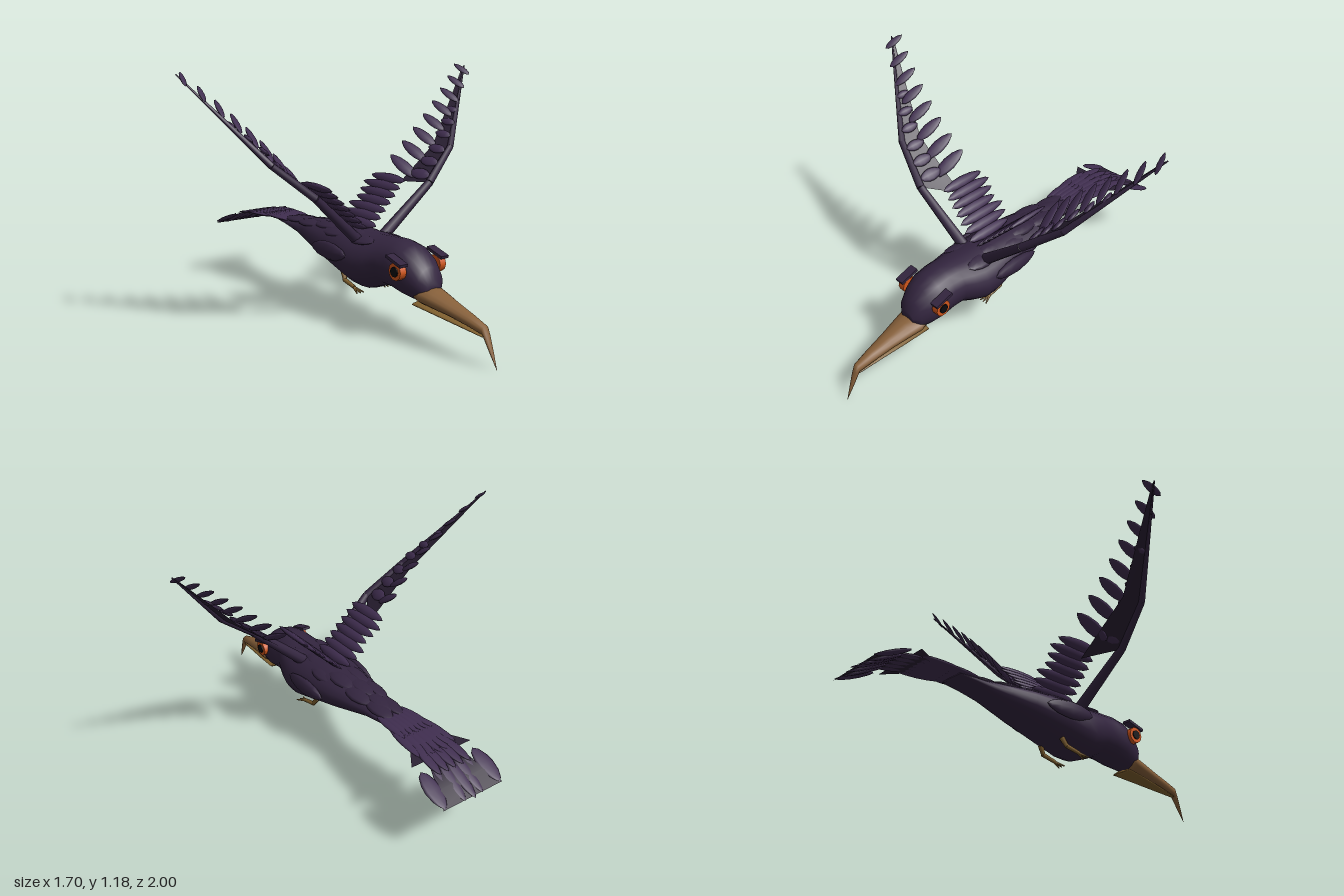
import * as THREE from 'three';

const paint = (name, color, side = THREE.FrontSide) => {
  const m = new THREE.MeshStandardMaterial({ color, side });
  m.name = name;
  return m;
};
const V = (x, y, z) => new THREE.Vector3(x, y, z);

export function createModel() {
  const model = new THREE.Group();
  const plumage = paint('dark plumage', 0x33253f);
  const feather = paint('feather purple', 0x402e50);
  const skin = paint('wing underside', 0x2a2033, THREE.DoubleSide);
  const horn = paint('beak brown', 0x87603a);
  const claw = paint('foot ochre', 0x80602f);
  const orange = paint('eye orange', 0xd0561c);
  const black = paint('pupil black', 0x0c0a0e);

  const add = (name, geo, mat, parent = model) => {
    const m = new THREE.Mesh(geo, mat);
    m.name = name;
    parent.add(m);
    return m;
  };
  const group = (name) => {
    const g = new THREE.Group();
    g.name = name;
    model.add(g);
    return g;
  };

  // Skin over elliptical rings [z, bottom, top, halfWidth], ordered front to back
  const loft = (rings, n = 16) => {
    const pos = [], idx = [];
    rings.forEach(([z, lo, hi, w]) => {
      for (let j = 0; j < n; j++) {
        const a = (j / n) * Math.PI * 2;
        pos.push(w * Math.cos(a), (lo + hi) / 2 + ((hi - lo) / 2) * Math.sin(a), z);
      }
    });
    for (let i = 0; i < rings.length - 1; i++) {
      for (let j = 0; j < n; j++) {
        const a = i * n + j, b = i * n + ((j + 1) % n);
        idx.push(a, a + n, b, b, a + n, b + n);
      }
    }
    for (let j = 1; j < n - 1; j++) {
      const e = (rings.length - 1) * n;
      idx.push(0, j, j + 1, e, e + j + 1, e + j);
    }
    const g = new THREE.BufferGeometry();
    g.setAttribute('position', new THREE.Float32BufferAttribute(pos, 3));
    g.setIndex(idx);
    g.computeVertexNormals();
    return g;
  };

  // Flat sheet between two edges of equal point count
  const sheet = (edgeA, edgeB) => {
    const pts = [], idx = [];
    edgeA.forEach((p, i) => {
      pts.push(p, edgeB[i]);
      if (i) idx.push(2 * i - 2, 2 * i - 1, 2 * i, 2 * i, 2 * i - 1, 2 * i + 1);
    });
    const g = new THREE.BufferGeometry().setFromPoints(pts);
    g.setIndex(idx);
    g.computeVertexNormals();
    return g;
  };

  // Pointed leaf-shaped feather from root to tip, thin along the given normal
  const leafGeo = new THREE.LatheGeometry(
    [[0, 0], [0.28, 0.1], [0.45, 0.3], [0.5, 0.5], [0.4, 0.75], [0.2, 0.92], [0, 1]]
      .map(([x, y]) => new THREE.Vector2(x, y)), 8);
  const leaf = (parent, name, root, tip, width, thick, normal, mat = feather) => {
    const dir = tip.clone().sub(root), len = dir.length();
    dir.normalize();
    const x = dir.clone().cross(normal).normalize();
    const z = x.clone().cross(dir);
    const m = add(name, leafGeo, mat, parent);
    m.quaternion.setFromRotationMatrix(new THREE.Matrix4().makeBasis(x, dir, z));
    m.position.copy(root);
    m.scale.set(width, len, thick);
  };

  // Tapered limb between two points
  const limb = (parent, name, a, b, ra, rb, mat) => {
    const m = add(name, new THREE.CylinderGeometry(rb, ra, a.distanceTo(b), 8), mat, parent);
    m.position.copy(a).lerp(b, 0.5);
    m.quaternion.setFromUnitVectors(V(0, 1, 0), b.clone().sub(a).normalize());
  };

  // Head, trunk and tapering rump
  add('body', loft([
    [0.625, 0.22, 0.29, 0.04], [0.6, 0.19, 0.345, 0.075], [0.55, 0.185, 0.395, 0.1],
    [0.49, 0.195, 0.425, 0.118], [0.42, 0.21, 0.437, 0.12], [0.36, 0.215, 0.435, 0.124],
    [0.3, 0.19, 0.432, 0.145], [0.24, 0.168, 0.43, 0.158], [0.18, 0.175, 0.432, 0.163],
    [0.08, 0.205, 0.437, 0.155], [0, 0.23, 0.435, 0.145], [-0.12, 0.265, 0.428, 0.128],
    [-0.24, 0.3, 0.418, 0.1], [-0.32, 0.325, 0.408, 0.083], [-0.42, 0.352, 0.398, 0.076],
    [-0.51, 0.373, 0.388, 0.07]], 20), plumage);

  // Long upper beak with a hooked point, and a thin lower beak
  add('upperBeak', loft([
    [1, 0, 0.004, 0.001], [0.97, 0.052, 0.082, 0.011], [0.945, 0.098, 0.142, 0.018],
    [0.93, 0.128, 0.17, 0.021], [0.85, 0.145, 0.195, 0.033], [0.75, 0.162, 0.222, 0.047],
    [0.66, 0.172, 0.248, 0.064], [0.6, 0.18, 0.262, 0.076], [0.57, 0.19, 0.25, 0.07]], 14), horn);
  add('lowerBeak', loft([
    [0.925, 0.118, 0.126, 0.012], [0.8, 0.133, 0.15, 0.03],
    [0.68, 0.15, 0.168, 0.048], [0.55, 0.165, 0.185, 0.062]], 12), claw);

  // Overlapping feathers along the back
  const back = group('backFeathers');
  [[0.31, 0, 2], [0.2, 0.045, 2], [0.1, 0, 2], [0.0, 0.05, 2], [-0.1, 0, 1], [-0.14, 0.055, 2],
    [-0.24, 0, 1], [-0.28, 0.035, 2]].forEach(([z, off, count]) => {
    for (let i = 0; i < count; i++) {
      const x = off ? (i ? -off : off) : (count === 2 ? (i - 0.5) * 0.17 : 0);
      const y = 0.426 - Math.max(0, -z) * 0.08 - x * x * 2.2;
      leaf(back, 'backFeather', V(x, y, z), V(x * 0.85, y - 0.008, z - 0.19), 0.085, 0.025,
        V(x * 4, 1, 0), plumage);
    }
  });

  for (const s of [1, -1]) {
    const label = s > 0 ? 'left' : 'right';
    const P = (x, y, z) => V(x * s, y, z);

    // Feather lying on the flank
    leaf(back, label + 'FlankFeather', P(0.158, 0.335, 0.2), P(0.15, 0.335, -0.08), 0.09, 0.05, V(s, 0, 0), plumage);

    // Round orange eye with dark pupil and brow
    const eye = group(label + 'Eye');
    const disc = (name, r, x, d, mat) => {
      const m = add(name, new THREE.CylinderGeometry(r, r, d, 10), mat, eye);
      m.rotation.z = Math.PI / 2;
      m.position.set(x * s, 0.328, 0.518);
    };
    disc('iris', 0.04, 0.118, 0.035, orange);
    disc('pupil', 0.023, 0.137, 0.008, black);
    const brow = add('brow', new THREE.BoxGeometry(0.045, 0.014, 0.1), plumage, eye);
    brow.position.set(0.122 * s, 0.376, 0.515);
    brow.rotation.x = 0.3;

    // Tucked leg with three toes
    const leg = group(label + 'Leg');
    limb(leg, 'shin', P(0.075, 0.225, 0.075), P(0.083, 0.185, 0.1), 0.013, 0.01, claw);
    limb(leg, 'foot', P(0.083, 0.187, 0.095), P(0.085, 0.168, 0.175), 0.011, 0.009, claw);
    [-0.02, 0, 0.02].forEach((d) =>
      limb(leg, 'toe', P(0.085, 0.168, 0.17), P(0.085 + d, 0.152, 0.22), 0.007, 0.003, claw));

    // Raised wing: bones along the front edge, then the web behind them
    const wing = group(label + 'Wing');
    const joints = [P(0.08, 0.4, 0.19), P(0.34, 0.63, 0.222), P(0.53, 0.785, 0.168), P(0.85, 1.175, -0.065)];
    const radii = [0.028, 0.02, 0.016, 0.003];
    for (let i = 0; i < 3; i++) limb(wing, 'wingBone', joints[i], joints[i + 1], radii[i], radii[i + 1], plumage);
    const inner = s > 0 ? P(0.3, 0.62, 0.06) : P(0.23, 0.57, 0.06);
    add('wingWeb', sheet(joints.slice(1), [inner, P(0.5, 0.79, 0.075), P(0.835, 1.165, -0.065)]), skin, wing);

    // Inner row of long feathers stepping up from the back
    const slope = P(-1, 1, 0);
    for (let i = 0; i < 7; i++) {
      const x = 0.025 + i * 0.032, y = 0.45 + i * 0.032;
      leaf(wing, 'innerFeather', P(x, y, 0.2 - i * 0.003), P(x, y + 0.005, -0.07 - (i % 3) * 0.012), 0.056, 0.028, slope);
    }

    // Outer flight feathers fanning back, shrinking to the tip
    for (let i = 0; i < 8; i++) {
      const t = i / 7, x = 0.335 + 0.49 * t, y = 0.68 + 0.47 * t + 0.03 * t * (1 - t);
      const z = 0.12 - 0.13 * t * t, k = 1 - 0.45 * t;
      leaf(wing, 'flightFeather', P(x + 0.01, y - 0.04 * k, z), P(x - 0.015, y + 0.06 * k, z - 0.165 * k),
        0.068 * k, 0.022 * k, P(-0.6, 1, 0.5));
    }

    // Small covert feathers over the web
    for (let i = 0; i < 6; i++) {
      const t = i / 5, x = 0.36 + 0.3 * t, y = 0.655 + 0.285 * t + (t < 0.6 ? 0 : 0.01);
      const z = 0.2 - 0.12 * t * t, k = 1 - 0.4 * t;
      leaf(wing, 'covertFeather', P(x, y, z), P(x - 0.015, y + 0.015, z - 0.12 * k), 0.065 * k, 0.02, slope);
    }
  }

  // Tail: two flared sheets covered by fans of feathers
  const tail = group('tail');
  const tailSheet = (name, rows) => add(name, sheet(
    rows.map(([z, y, w]) => V(w, y, z)), rows.map(([z, y, w]) => V(-w, y, z))), skin, tail);
  tailSheet('upperTailSheet', [[-0.44, 0.385, 0.072], [-0.6, 0.39, 0.085], [-0.68, 0.386, 0.1], [-0.775, 0.376, 0.168]]);
  tailSheet('lowerTailSheet', [[-0.68, 0.384, 0.095], [-0.83, 0.362, 0.1], [-0.91, 0.328, 0.12], [-0.985, 0.285, 0.168]]);
  const up = V(0, 1, 0);
  for (let i = -3; i <= 3; i++) {
    const a = Math.abs(i);
    leaf(tail, 'rumpFeather', V(i * 0.022, 0.388, -0.4), V(i * 0.026, 0.396, -0.62), 0.045, 0.016, up);
    leaf(tail, 'upperTailFeather', V(i * 0.025, 0.392, -0.5), V(i * 0.034, 0.384, -0.78 + a * 0.01), 0.05, 0.016, up);
    if (a < 3) {
      leaf(tail, 'middleTailFeather', V(i * 0.036, 0.39, -0.68), V(i * 0.042, 0.36, -0.87), 0.05, 0.014, up);
      leaf(tail, 'lowerTailFeather', V(i * 0.04, 0.373, -0.8), V(i * 0.05, 0.284, -1 + a * 0.01), 0.058, 0.014, V(0, 1, -0.4));
    } else {
      leaf(tail, 'outerTailFeather', V(i * 0.049, 0.365, -0.81), V(i * 0.052, 0.29, -0.985), 0.085, 0.014, V(0, 1, -0.4));
    }
  }

  return model;
}
